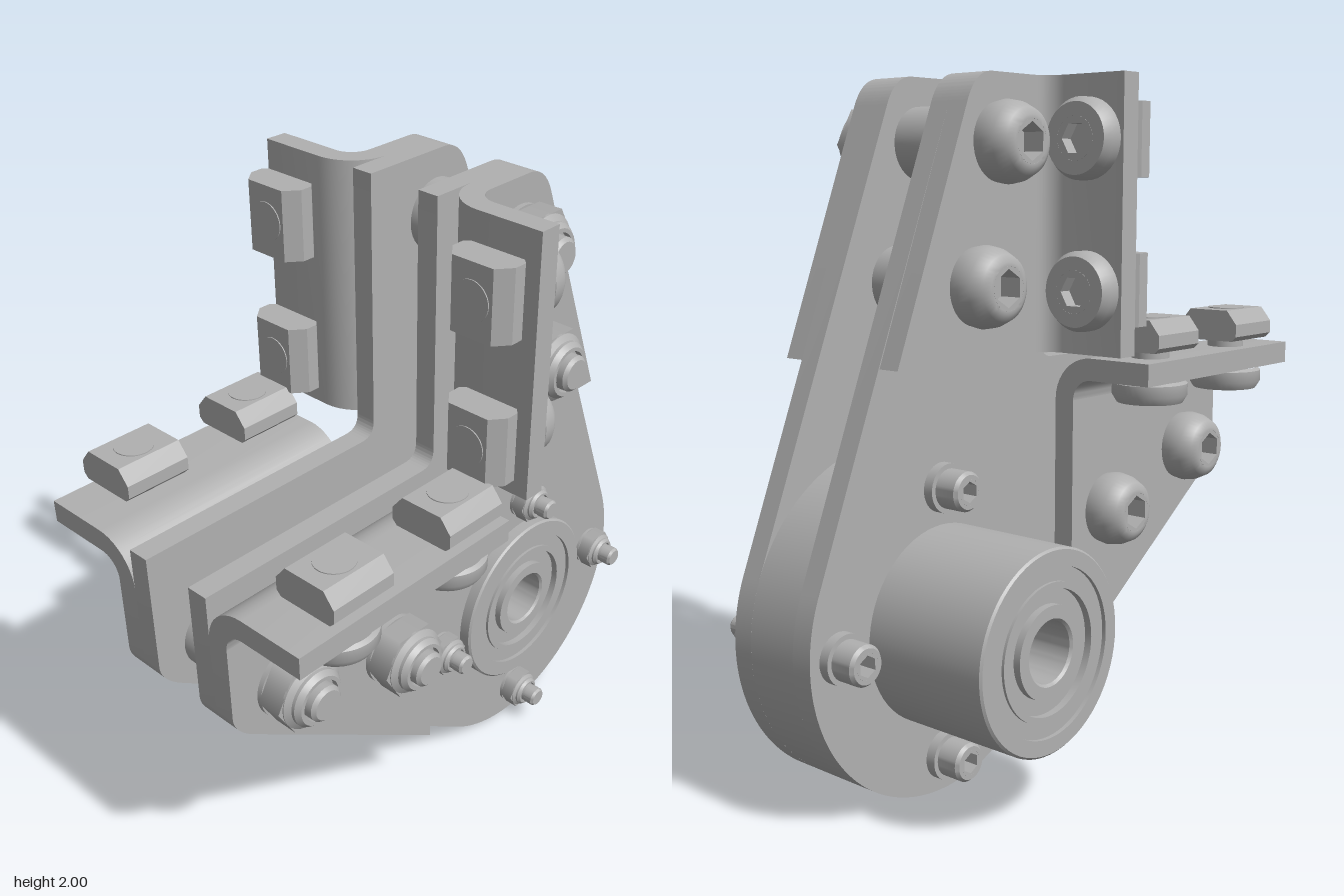
import * as THREE from 'three';
import { toCreasedNormals } from 'three/addons/utils/BufferGeometryUtils.js';

const steel = new THREE.MeshStandardMaterial({ color: 0xb0b0b0 });
steel.name = 'steel grey';

const CX = 0.016, T = 0.066;          // mid-plane and sheet thickness
const AY = 0.493, AZ = -0.39;         // axle centre
const IN = 0.084, OUT = IN + T;       // plate faces, measured from the mid-plane
const UP = new THREE.Vector3(0, 1, 0);

function mesh(name, geometry, smooth = true) {
  const m = new THREE.Mesh(smooth ? toCreasedNormals(geometry, 0.6) : geometry, steel);
  m.name = name;
  return m;
}

// Turned part; profile runs from the outer base up and in to the axis.
function turned(name, profile, segments = 40) {
  return mesh(name, new THREE.LatheGeometry(profile.map(p => new THREE.Vector2(...p)), segments));
}

function group(name, parts) {
  const g = new THREE.Group();
  g.name = name;
  g.add(...parts);
  return g;
}

function aim(obj, x, y, z, dir) {
  obj.position.set(x, y, z);
  obj.quaternion.setFromUnitVectors(UP, new THREE.Vector3(...dir));
  return obj;
}

// Side profile drawn in (z, y), extruded along x.
function slab(name, shape, x0, x1) {
  const g = new THREE.ExtrudeGeometry(shape, { depth: x1 - x0, bevelEnabled: false, curveSegments: 32 });
  g.rotateY(-Math.PI / 2).translate(x1, 0, 0);
  return mesh(name, g);
}

function plateShape() {
  const s = new THREE.Shape();
  s.moveTo(0.04, 2);
  s.lineTo(0.04, 1.25);
  s.quadraticCurveTo(0.04, 1.2, 0.09, 1.2);
  s.lineTo(0.885, 1.2);
  s.lineTo(0.885, 0.84);
  s.quadraticCurveTo(0.885, 0.79, 0.82, 0.743);
  s.absarc(AZ, 0.49, 0.49, -0.96, 2.771, true);
  s.lineTo(-0.35, 1.92);
  s.quadraticCurveTo(-0.318, 2, -0.25, 2);
  s.closePath();
  s.holes.push(new THREE.Path().absarc(AZ, AY, 0.2, 0, Math.PI * 2));
  return s;
}

// Flat webs of the two angle brackets
const upperWeb = () => {
  const s = new THREE.Shape();
  s.moveTo(-0.09, 2);
  s.lineTo(-0.09, 1.23);
  s.lineTo(-0.62, 1.23);
  s.lineTo(-0.35, 1.92);
  s.quadraticCurveTo(-0.318, 2, -0.25, 2);
  return s;
};
const frontWeb = () => {
  const s = new THREE.Shape();
  s.moveTo(0.11, 1.07);
  s.lineTo(0.885, 1.07);
  s.lineTo(0.885, 0.84);
  s.quadraticCurveTo(0.885, 0.79, 0.82, 0.743);
  s.lineTo(0.11, 0.245);
  return s;
};

// Bent flange section: side s, with its outer face at height h
function flangeShape(s, h) {
  const R = 0.13, X = a => CX + s * (OUT + a);
  const pts = [];
  for (let i = 0; i <= 10; i++) {
    const t = i / 10 * Math.PI / 2;
    pts.push([X(R - R * Math.cos(t)), h - R + R * Math.sin(t)]);
  }
  pts.push([X(0.335), h], [X(0.335), h - T]);
  for (let i = 10; i >= 0; i--) {
    const t = i / 10 * Math.PI / 2, r = R - T;
    pts.push([X(R - r * Math.cos(t)), h - R + r * Math.sin(t)]);
  }
  return new THREE.Shape(pts.map(p => new THREE.Vector2(...p)));
}

function hexRing(r, socket, depth) {
  const s = new THREE.Shape().absarc(0, 0, r, 0, Math.PI * 2);
  const hex = [];
  for (let i = 0; i < 6; i++) {
    const a = i * Math.PI / 3;
    hex.push(new THREE.Vector2(socket * Math.cos(a), socket * Math.sin(a)));
  }
  s.holes.push(new THREE.Path(hex));
  return new THREE.ExtrudeGeometry(s, { depth, bevelEnabled: false }).rotateX(-Math.PI / 2);
}

// Screw head with a hexagonal socket
function socketHead(profile, rim, socket) {
  const h = profile[profile.length - 1][1], d = h * 0.6;
  return group('screwHead', [
    turned('headBody', [...profile, [rim, h], [rim, h - d], [0, h - d]]),
    mesh('hexSocket', hexRing(rim, socket, d).translate(0, h - d, 0)),
  ]);
}

// Lock nut with washer, collar and protruding thread end; k scales it
function lockNut(k) {
  const hex = new THREE.CylinderGeometry(0.117, 0.117, 0.075, 6).translate(0, 0.0525, 0);
  return group('lockNut', [
    turned('washer', [[0.108, 0], [0.108, 0.015], [0, 0.015]]),
    mesh('hexNut', hex, false),
    turned('nutCollar', [[0.102, 0.085], [0.102, 0.093], [0.085, 0.105], [0.085, 0.115], [0.073, 0.13], [0.062, 0.13], [0.062, 0.11], [0, 0.11]]),
    turned('threadEnd', [[0.054, 0.1], [0.054, 0.145], [0.044, 0.155], [0, 0.155]], 24),
  ].map(m => (m.scale.setScalar(k), m.position.multiplyScalar(k), m)));
}

// T-shaped slot nut, screw and head through a flange; local y points out
function flangeFastener() {
  const half = [[0.085, 0.025], [0.1, 0.04], [0.1, 0.078], [0.066, 0.12]];
  const s = new THREE.Shape([...half, ...half.map(([x, y]) => [-x, y]).reverse()].map(p => new THREE.Vector2(...p)));
  const nut = new THREE.ExtrudeGeometry(s, { depth: 0.206, bevelEnabled: false }).translate(0, 0, -0.103);
  const head = socketHead([[0.1, 0], [0.112, 0.008], [0.112, 0.042], [0.098, 0.065]], 0.06, 0.045);
  head.rotation.x = Math.PI;
  head.position.y = -T;
  return group('flangeFastener', [
    mesh('slotNut', nut, false),
    turned('screwShank', [[0.056, -0.01], [0.056, 0.123], [0, 0.123]], 32),
    head,
  ]);
}

export function createModel() {
  const model = new THREE.Group();
  model.name = 'pivotBracket';

  for (const s of [-1, 1]) {
    const side = s > 0 ? 'left' : 'right';
    const span = (a, b) => [CX + s * a, CX + s * b].sort((p, q) => p - q);

    // Side plate and the two angle brackets fixed against it
    model.add(slab(side + 'Plate', plateShape(), ...span(IN, OUT)));
    model.add(slab(side + 'UpperWeb', upperWeb(), ...span(OUT, OUT + T)));
    model.add(slab(side + 'FrontWeb', frontWeb(), ...span(OUT, OUT + T)));
    const upright = new THREE.ExtrudeGeometry(flangeShape(s, 0.04), { depth: 0.77, bevelEnabled: false });
    model.add(mesh(side + 'UprightFlange', upright.rotateX(Math.PI / 2).translate(0, 2, 0)));
    const level = new THREE.ExtrudeGeometry(flangeShape(s, 1.2), { depth: 0.775, bevelEnabled: false });
    model.add(mesh(side + 'LevelFlange', level.translate(0, 0, 0.11)));

    // Flange fasteners
    for (const y of [1.825, 1.41]) {
      const f = flangeFastener();
      f.rotation.x = Math.PI / 2;
      f.position.set(CX + s * 0.37, y, 0.04);
      model.add(f);
    }
    for (const z of [0.67, 0.255]) {
      const f = flangeFastener();
      f.position.set(CX + s * 0.39, 1.2, z);
      model.add(f);
    }
  }

  // Large through bolts with spacer tubes
  for (const [z, y] of [[-0.22, 1.815], [-0.315, 1.43], [0.69, 0.855], [0.285, 0.715]]) {
    const head = socketHead([[0.108, 0], [0.113, 0.03], [0.107, 0.065], [0.09, 0.1], [0.07, 0.113]], 0.06, 0.052);
    const spacer = mesh('spacer', new THREE.CylinderGeometry(0.104, 0.104, 2 * IN, 32));
    model.add(group('throughBolt', [
      aim(spacer, CX, y, z, [1, 0, 0]),
      aim(head, CX - OUT - T, y, z, [-1, 0, 0]),
      aim(lockNut(1), CX + OUT + T, y, z, [1, 0, 0]),
    ]));
  }

  // Four small bolts around the axle
  for (let i = 0; i < 4; i++) {
    const a = i * Math.PI / 2, y = AY + 0.388 * Math.sin(a), z = AZ + 0.388 * Math.cos(a);
    const head = socketHead([[0.07, 0], [0.07, 0.03], [0.056, 0.03], [0.056, 0.095], [0.048, 0.105]], 0.036, 0.03);
    model.add(group('smallBolt', [
      aim(head, CX - OUT, y, z, [-1, 0, 0]),
      aim(lockNut(0.57), CX + OUT, y, z, [1, 0, 0]),
      aim(turned('nutCap', [[0.032, 0.08], [0.032, 0.11], [0.026, 0.118], [0, 0.118]], 20), CX + OUT, y, z, [1, 0, 0]),
    ]));
  }

  // Round core between the plates
  const core = turned('core', [[0.49, -IN], [0.49, IN], [0.085, IN], [0.085, -IN], [0.49, -IN]], 96);
  model.add(aim(core, CX, 0.49, AZ, [1, 0, 0]));

  // Bearing faces around the open bore
  const bearing = (r, h) => [
    [r, -0.05], [r, h - 0.006], [r - 0.006, h], [0.232, h], [0.232, h - 0.012], [0.19, h - 0.012],
    [0.19, h - 0.004], [0.172, h - 0.004], [0.172, h - 0.025], [0.128, h - 0.025], [0.128, h - 0.004],
    [0.092, h - 0.004], [0.085, h - 0.011], [0.085, -0.08],
  ];
  model.add(aim(turned('bearingFlange', bearing(0.286, 0.04), 64), CX + OUT, AY, AZ, [1, 0, 0]));
  model.add(aim(turned('hubBarrel', bearing(0.282, 0.395), 64), CX - OUT, AY, AZ, [-1, 0, 0]));

  return model;
}
